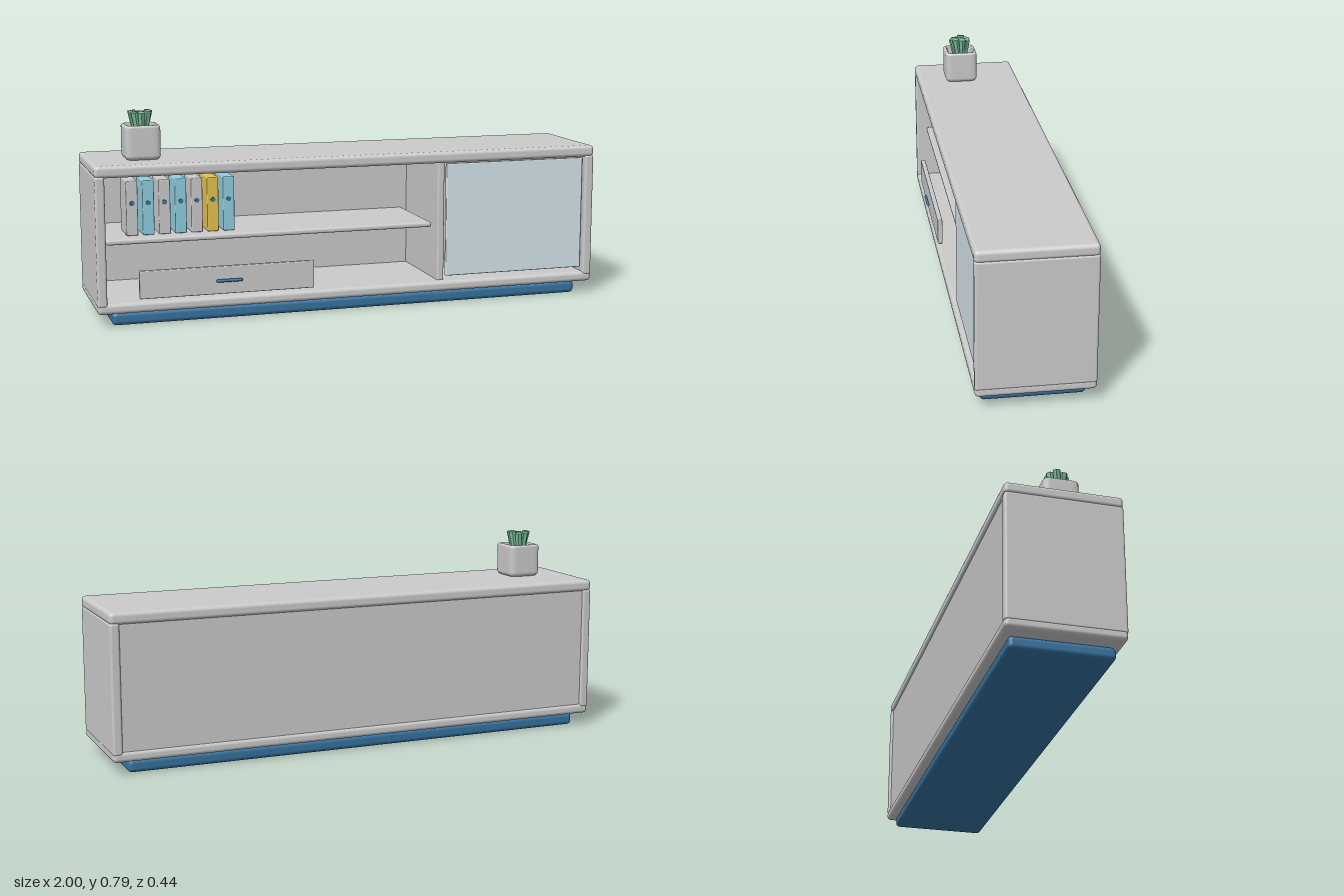
import * as THREE from 'three';
import { RoundedBoxGeometry } from 'three/addons/geometries/RoundedBoxGeometry.js';

const material = (color = 0xcccccc, extra = {}) => new THREE.MeshStandardMaterial({ color, ...extra });
const GREY = material();
const WHITE = material(0xeeeeee);
const BACK = material(0xe2e2e4);
const GLASS = material(0xd6e6ec);
const NAVY = material(0x35739f);
const SKY = material(0x8fcfe0);
const YELLOW = material(0xe6c350);
const LEAF = material(0x7cc4a0, { flatShading: true });

export function createModel() {
  const model = new THREE.Group();
  model.name = 'mediaCabinet';

  const add = (name, geometry, mat, parent = model) => {
    const mesh = new THREE.Mesh(geometry, mat);
    mesh.name = name;
    parent.add(mesh);
    return mesh;
  };

  // Rounded block given by its extents on each axis
  const block = (name, [x0, x1], [y0, y1], [z0, z1], radius, mat = GREY, parent = model) => {
    const mesh = add(name, new RoundedBoxGeometry(x1 - x0, y1 - y0, z1 - z0, 4, radius), mat, parent);
    mesh.position.set((x0 + x1) / 2, (y0 + y1) / 2, (z0 + z1) / 2);
    return mesh;
  };

  // Carcass
  const depth = [-0.22, 0.21];
  block('plinth', [-0.943, 0.938], [0, 0.05], [-0.193, 0.185], 0.017, NAVY);
  block('bottomBoard', [-1, 1], [0.05, 0.09], depth, 0.015);
  block('topBoard', [-1, 1], [0.56, 0.605], depth, 0.015);
  block('rightSide', [-1, -0.963], [0.076, 0.567], depth, 0.01);
  block('leftSide', [0.963, 1], [0.076, 0.567], depth, 0.01);
  block('backPanel', [-0.97, 0.97], [0.08, 0.57], [-0.212, -0.192], 0.004, BACK);

  // Compartments
  block('divider', [0.345, 0.373], [0.085, 0.565], [-0.2, 0.178], 0.007);
  block('shelf', [-0.955, 0.325], [0.302, 0.322], [-0.2, 0.165], 0.008, WHITE);
  block('door', [0.375, 0.957], [0.108, 0.556], [0.178, 0.196], 0.004, GLASS);

  // Drawer front and its bar handle
  block('drawerFront', [-0.842, -0.168], [0.1, 0.206], [0.185, 0.205], 0.004);
  const handle = add('drawerHandle', new THREE.CapsuleGeometry(0.006, 0.09, 4, 12), NAVY);
  handle.rotation.z = Math.PI / 2;
  handle.position.set(-0.503, 0.153, 0.215);

  // Row of binders with finger holes
  const binders = new THREE.Group();
  binders.name = 'binders';
  model.add(binders);
  [GREY, SKY, WHITE, SKY, GREY, YELLOW, SKY].forEach((mat, i) => {
    const x = -0.847 + i * 0.0618;
    block('binder', [x - 0.022, x + 0.022], [0.322, 0.53], [-0.035, 0.1], 0.004, mat, binders);
    const dot = add('fingerHole', new THREE.CylinderGeometry(0.009, 0.009, 0.006, 16), NAVY, binders);
    dot.rotation.x = Math.PI / 2;
    dot.position.set(x, 0.445, 0.1);
  });

  // Planter with leaves
  const planter = new THREE.Group();
  planter.name = 'planter';
  planter.position.set(-0.797, 0.604, 0.03);
  model.add(planter);
  add('pot', potGeometry(), GREY, planter);
  for (let i = 0; i < 8; i++) {
    const inner = i === 7;
    const angle = (i / 7) * Math.PI * 2 + 0.3;
    const length = 0.105 + 0.006 * (i % 3 === 0 ? 1 : 0);
    const geometry = new THREE.CylinderGeometry(0.0155, 0.010, length, 6).translate(0, length / 2, 0);
    const leaf = add('leaf', geometry, LEAF, planter);
    const spread = inner ? 0 : 0.015;
    leaf.position.set(Math.cos(angle) * spread, 0.074, Math.sin(angle) * spread);
    leaf.rotation.order = 'YXZ';
    leaf.rotation.set(inner ? 0 : 0.12, -angle, inner ? 0 : -0.14);
  }
  return model;
}

// Hollow pot: a lathed profile pushed out to a rounded square
function potGeometry() {
  const h = 0.067, r = 0.018, top = 0.131, wall = 0.014;
  const points = [[0, 0], [h - r, 0]];
  const arc = (cx, cy, radius, from, to) => {
    for (let i = 0; i <= 5; i++) {
      const a = from + (to - from) * (i / 5);
      points.push([cx + Math.cos(a) * radius, cy + Math.sin(a) * radius]);
    }
  };
  arc(h - r, r, r, -Math.PI / 2, 0);
  arc(h - 0.01, top - 0.01, 0.01, 0, Math.PI / 2);
  points.push([h - wall, top - 0.005], [h - wall, 0.085], [h - wall - 0.001, 0.084], [0, 0.084]);
  const geometry = new THREE.LatheGeometry(points.map(([x, y]) => new THREE.Vector2(x, y)), 64);
  const p = geometry.attributes.position;
  for (let i = 0; i < p.count; i++) {
    const x = p.getX(i), z = p.getZ(i), radius = Math.hypot(x, z);
    if (radius < 1e-6) continue;
    const c = Math.abs(x) / radius, s = Math.abs(z) / radius;
    const k = Math.pow(c ** 8 + s ** 8, -1 / 8);
    p.setXYZ(i, x * k, p.getY(i), z * k);
  }
  geometry.computeVertexNormals();
  return geometry;
}
